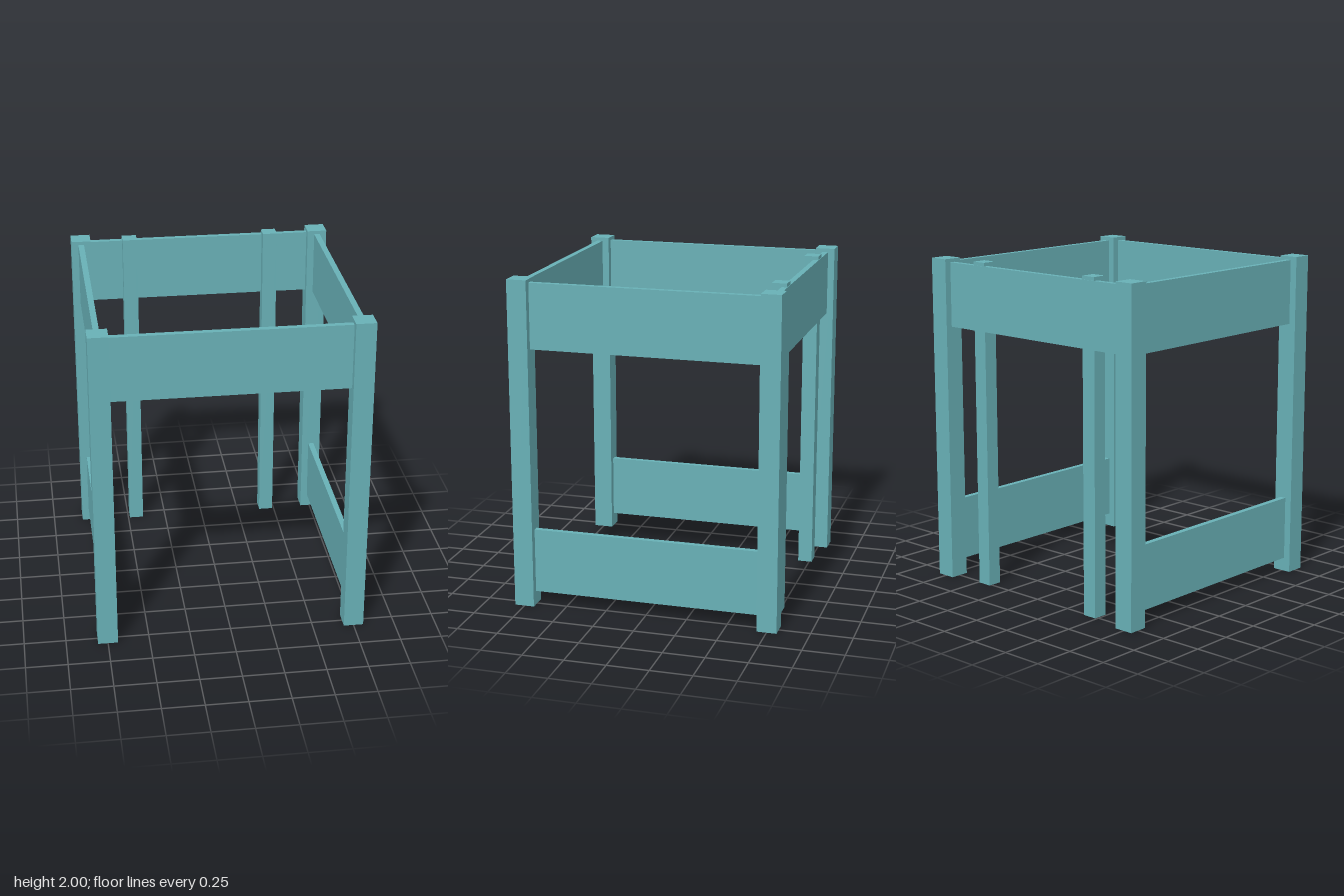
import * as THREE from 'three';

export function createModel() {
  const group = new THREE.Group();
  const material = new THREE.MeshStandardMaterial({ color: 0x68b0b6 });

  // Box given by its size and centre
  function board(name, w, h, d, x, y, z) {
    const mesh = new THREE.Mesh(new THREE.BoxGeometry(w, h, d), material);
    mesh.name = name;
    mesh.position.set(x, y, z);
    group.add(mesh);
  }

  const leg = 0.12, legAt = 0.75;
  const span = 2 * legAt - leg;
  const railHeight = 0.393, railThick = 0.035;
  const topY = 1.782, lowY = 0.282;

  for (const s of [-1, 1]) {
    const side = s > 0 ? 'left' : 'right';

    // Corner legs
    board(`${side}FrontLeg`, leg, 2, leg, s * legAt, 1, legAt);
    board(`${side}BackLeg`, leg, 2, leg, s * legAt, 1, -legAt);

    // Side rails, upper and lower
    board(`${side}UpperRail`, railThick, railHeight, span, s * legAt, topY, 0);
    board(`${side}LowerRail`, railThick, railHeight, span, s * legAt, lowY, 0);

    // Slim uprights at the back, let into the rail
    board(`${side}BackUpright`, 0.09, 2, 0.088, s * 0.445, 1, -0.722);
  }

  // Front and back upper rails
  board('frontRail', span, railHeight, railThick, 0, topY, legAt);
  board('backRail', span, railHeight, railThick, 0, topY, -legAt - 0.002);

  return group;
}
